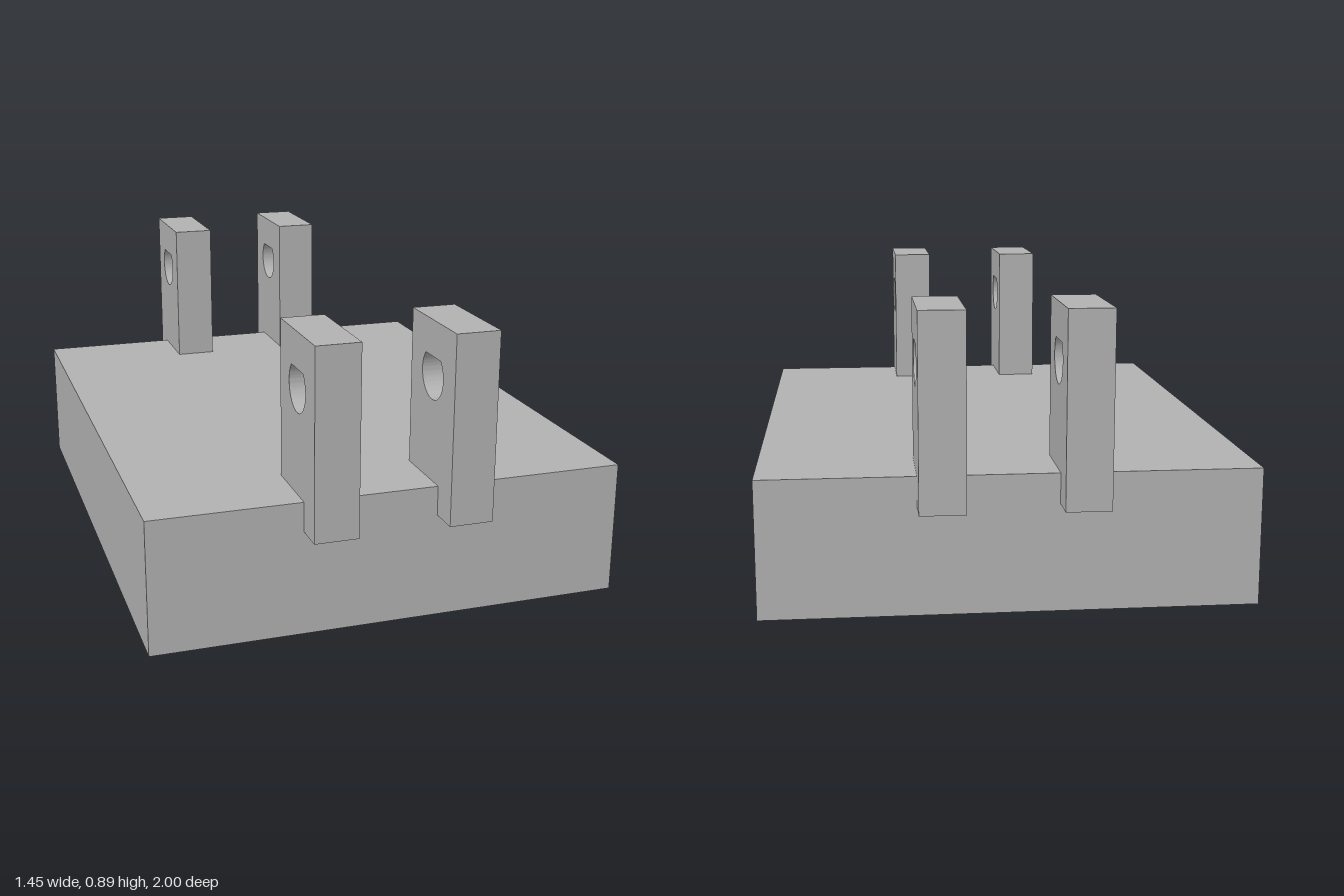
import * as THREE from 'three';
import { toCreasedNormals } from 'three/addons/utils/BufferGeometryUtils.js';

const BASE = { x: 0.727, y: 0.41, z: 0.907 };       // half width, height, half length
const SOCKET = { x: 0.55, radius: 0.142, depth: 0.32 };
const LUG = { width: 0.133, height: 0.57, length: 0.317, bottom: 0.32 };

// Upright lug with a teardrop pin hole, centred on its length and thickness
function lugGeometry() {
  const h = LUG.length / 2;
  const shape = new THREE.Shape();
  shape.moveTo(-h, 0);
  shape.lineTo(h, 0);
  shape.lineTo(h, LUG.height);
  shape.lineTo(-h, LUG.height);
  shape.closePath();

  const r = 0.075, cy = 0.41;
  const hole = new THREE.Path();
  hole.moveTo(0, cy + r * Math.SQRT2);
  hole.absarc(0, cy, r, Math.PI * 0.75, Math.PI * 2.25, false);
  hole.closePath();
  shape.holes.push(hole);

  const geo = new THREE.ExtrudeGeometry(shape, { depth: LUG.width, bevelEnabled: false, curveSegments: 36 });
  geo.translate(0, 0, -LUG.width / 2);
  geo.rotateY(-Math.PI / 2);
  return toCreasedNormals(geo, 0.5);
}

export function createModel() {
  const model = new THREE.Group();
  model.name = 'bracketBlock';
  const grey = new THREE.MeshStandardMaterial({ color: 0xb2b2b2 });
  grey.name = 'plainGrey';

  const add = (name, geo, x = 0, y = 0, z = 0) => {
    const mesh = new THREE.Mesh(geo, grey);
    mesh.name = name;
    mesh.position.set(x, y, z);
    model.add(mesh);
  };

  // Base block without its underside (fourth face of the box)
  const block = new THREE.BoxGeometry(BASE.x * 2, BASE.y, BASE.z * 2);
  const index = Array.from(block.index.array);
  index.splice(18, 6);
  block.setIndex(index);
  block.clearGroups();
  add('baseBlock', block, 0, BASE.y / 2, 0);

  // Underside with two round openings
  const under = new THREE.Shape();
  under.moveTo(-BASE.x, -BASE.z);
  under.lineTo(BASE.x, -BASE.z);
  under.lineTo(BASE.x, BASE.z);
  under.lineTo(-BASE.x, BASE.z);
  under.closePath();
  for (const side of [-1, 1]) {
    const opening = new THREE.Path();
    opening.absarc(side * SOCKET.x, 0, SOCKET.radius, 0, Math.PI * 2, true);
    under.holes.push(opening);
  }
  add('underside', new THREE.ShapeGeometry(under, 32).rotateX(Math.PI / 2));

  // Blind round sockets: inward-facing wall and closed end
  const wall = new THREE.LatheGeometry([
    new THREE.Vector2(SOCKET.radius, SOCKET.depth),
    new THREE.Vector2(SOCKET.radius, 0),
  ], 64);
  const end = new THREE.CircleGeometry(SOCKET.radius, 64).rotateX(Math.PI / 2);
  for (const side of [-1, 1]) {
    const label = side > 0 ? 'left' : 'right';
    add(label + 'SocketWall', wall, side * SOCKET.x);
    add(label + 'SocketEnd', end, side * SOCKET.x, SOCKET.depth);
  }

  // Pairs of lugs overhanging the front and back edges
  const lug = lugGeometry();
  for (const end of [-1, 1]) {
    for (const side of [-1, 1]) {
      const name = (end > 0 ? 'front' : 'back') + (side > 0 ? 'Left' : 'Right') + 'Lug';
      add(name, lug, side * 0.204, LUG.bottom, end * (1 - LUG.length / 2));
    }
  }
  return model;
}
